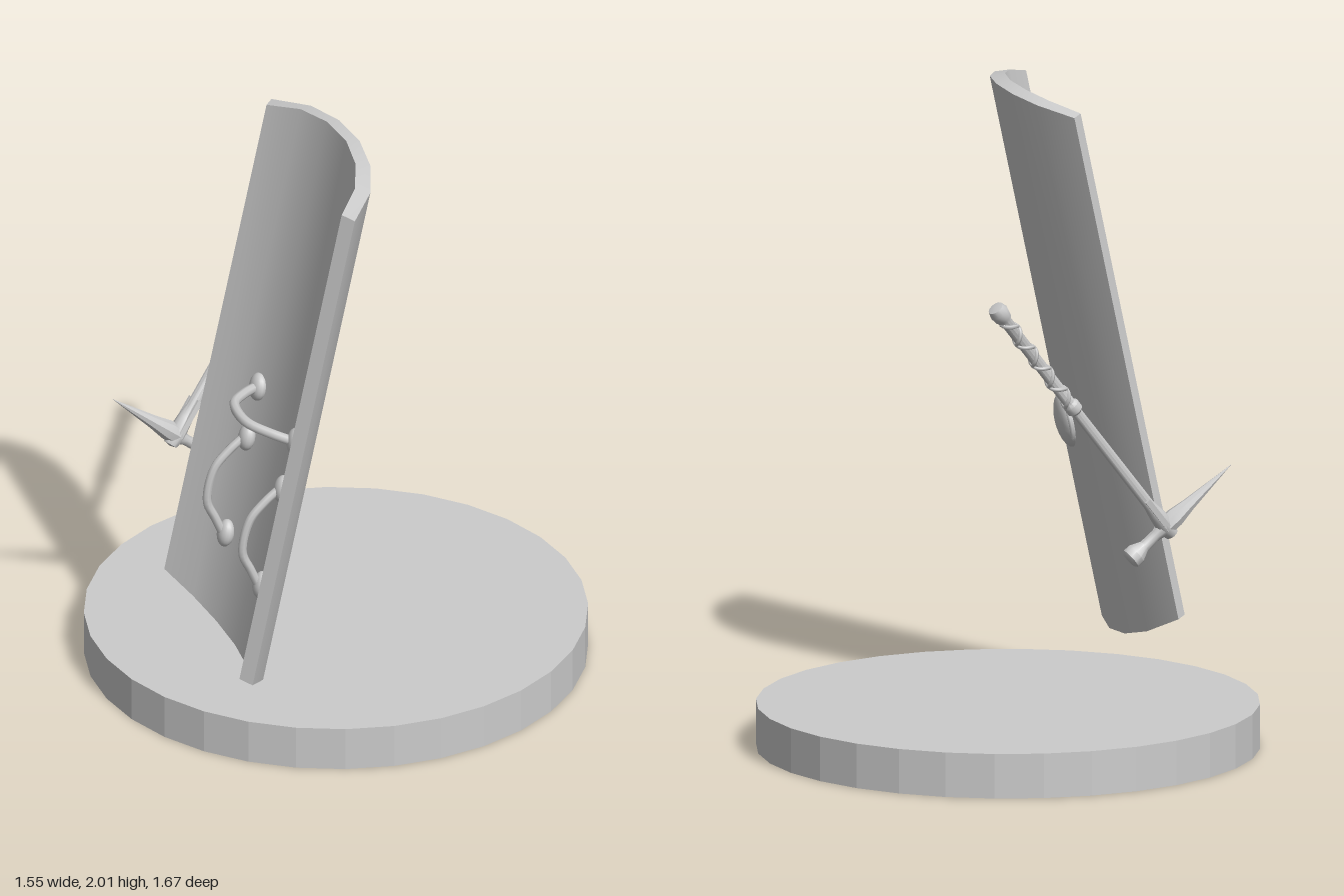
import * as THREE from 'three';
import { toCreasedNormals } from 'three/addons/utils/BufferGeometryUtils.js';

const V = (x, y, z) => new THREE.Vector3(x, y, z);
const grey = new THREE.MeshStandardMaterial({ color: 0xcccccc });
grey.name = 'plain grey';

function add(parent, name, geometry, position = [0, 0, 0], scale = [1, 1, 1]) {
  const mesh = new THREE.Mesh(geometry, grey);
  mesh.name = name;
  mesh.position.set(...position);
  mesh.scale.set(...scale);
  parent.add(mesh);
  return mesh;
}

// Group whose local y runs along "up" and whose local x points near "side"
function frame(name, origin, up, side) {
  const y = up.clone().normalize();
  const z = side.clone().cross(y).normalize();
  const x = y.clone().cross(z);
  const group = new THREE.Group();
  group.name = name;
  group.quaternion.setFromRotationMatrix(new THREE.Matrix4().makeBasis(x, y, z));
  group.position.copy(origin);
  return group;
}

const tube = (points, radius, steps = 24, sides = 8) =>
  new THREE.TubeGeometry(new THREE.CatmullRomCurve3(points), steps, radius, sides);

const lathe = (profile, sides = 12) =>
  toCreasedNormals(new THREE.LatheGeometry(profile.map(p => new THREE.Vector2(...p)), sides), 0.7);

// Curved plate: columns of [outer depth, outer width, inner depth, inner width, half height]
function shieldPlate() {
  const half = [[0, 0.4, -0.03, 0.36, 0.81], [0.083, 0.285, 0.04, 0.26, 0.85], [0.126, 0.15, 0.08, 0.14, 0.872]];
  const columns = [
    ...half.map(([a, b, c, d, h]) => [a, -b, c, -d, h]),
    [0.14, 0, 0.095, 0, 0.88],
    ...half.slice().reverse(),
  ];
  const loop = [
    ...columns.map(c => [c[0], c[1], c[4]]),
    ...columns.slice().reverse().map(c => [c[2], c[3], c[4]]),
  ];
  const n = loop.length;
  const positions = [], index = [];
  for (const s of [-1, 1]) for (const [d, w, h] of loop) positions.push(d, s * h, w);
  const quad = (a, b, c, d) => index.push(a, b, c, a, c, d);
  for (let i = 0; i < n; i++) {
    const j = (i + 1) % n;
    quad(i, n + i, n + j, j);
  }
  for (let i = 0; i < columns.length - 1; i++) {
    const inner = n - 1 - i;
    quad(n + i, n + inner, n + inner - 1, n + i + 1);
    quad(i, i + 1, inner - 1, inner);
  }
  const geometry = new THREE.BufferGeometry();
  geometry.setAttribute('position', new THREE.Float32BufferAttribute(positions, 3));
  geometry.setIndex(index);
  return toCreasedNormals(geometry, 0.6);
}

function createShield() {
  const shield = frame('shield', V(-0.246, 1.164, 0.419), V(0.2, 1, -0.04), V(0.957, -0.203, -0.289));
  add(shield, 'shieldPlate', shieldPlate());

  // Outer boss with a raised band
  const ball = new THREE.SphereGeometry(1, 16, 12);
  add(shield, 'boss', ball, [0.137, -0.205, 0], [0.036, 0.088, 0.078]);
  const band = add(shield, 'bossBand', new THREE.TorusGeometry(0.07, 0.008, 6, 20), [0.142, -0.205, 0], [1, 1.1, 1]);
  band.rotation.y = Math.PI / 2;

  // Two upright straps on the inner side
  for (const side of [-1, 1]) {
    const z = side * 0.17;
    add(shield, 'uprightStrap', tube([
      V(0.05, -0.245, z), V(0.01, -0.295, z), V(-0.025, -0.36, z),
      V(-0.025, -0.47, z), V(0.015, -0.53, z), V(0.05, -0.58, z)], 0.014));
    for (const y of [-0.245, -0.58]) add(shield, 'strapPad', ball, [0.06, y, z], [0.026, 0.045, 0.034]);
  }

  // Cross strap above them
  add(shield, 'crossStrap', tube([
    V(0.06, -0.075, -0.18), V(0.0, -0.075, -0.13), V(-0.055, -0.075, -0.06),
    V(-0.055, -0.075, 0.06), V(0.0, -0.075, 0.13), V(0.06, -0.075, 0.18)], 0.016));
  for (const side of [-1, 1]) add(shield, 'crossStrapPad', ball, [0.065, -0.075, side * 0.18], [0.026, 0.045, 0.04]);
  return shield;
}

function createHammer() {
  const hammer = frame('warHammer', V(-0.49, 0.715, -0.14), V(0.5, 0.76, -0.39), V(0.29, -0.29, -0.13));

  // Shaft, collar, grip and pommel in one turned profile
  add(hammer, 'shaft', lathe([
    [0, -0.04], [0.022, -0.035], [0.03, 0], [0.024, 0.06], [0.018, 0.1], [0.017, 0.52], [0.026, 0.53],
    [0.026, 0.555], [0.019, 0.565], [0.019, 0.935], [0.027, 0.95], [0.031, 0.975], [0.025, 0.995], [0, 1.0]]));

  // Crossed wrapping around the grip
  for (const turn of [-1, 1]) {
    const points = [];
    for (let i = 0; i <= 40; i++) {
      const a = turn * i / 40 * Math.PI * 8;
      points.push(V(0.019 * Math.cos(a), 0.56 + i / 40 * 0.38, 0.019 * Math.sin(a)));
    }
    add(hammer, 'gripWrap', tube(points, 0.007, 100, 5));
  }

  // Spike on one side, flared hammer face on the other
  const spike = add(hammer, 'spike', lathe([[0.03, 0], [0.031, 0.04], [0.021, 0.1], [0, 0.285]], 8));
  spike.rotation.z = Math.PI / 2;
  const face = add(hammer, 'hammerFace', lathe([
    [0.03, 0], [0.018, 0.04], [0.018, 0.09], [0.034, 0.125], [0.034, 0.148], [0.026, 0.155], [0, 0.157]], 10));
  face.rotation.z = -Math.PI / 2;

  // Side plates tying the head to the shaft
  for (const side of [-1, 1])
    add(hammer, 'headPlate', new THREE.BoxGeometry(0.018, 0.13, 0.008), [0, 0.06, side * 0.024]);
  return hammer;
}

export function createModel() {
  const model = new THREE.Group();
  model.name = 'shieldAndHammerDisplay';
  // Round base with faceted sides
  const disc = toCreasedNormals(new THREE.CylinderGeometry(0.777, 0.777, 0.14, 32), 0.1);
  add(model, 'base', disc, [0, 0.07, -0.058]);
  model.add(createShield(), createHammer());
  return model;
}
